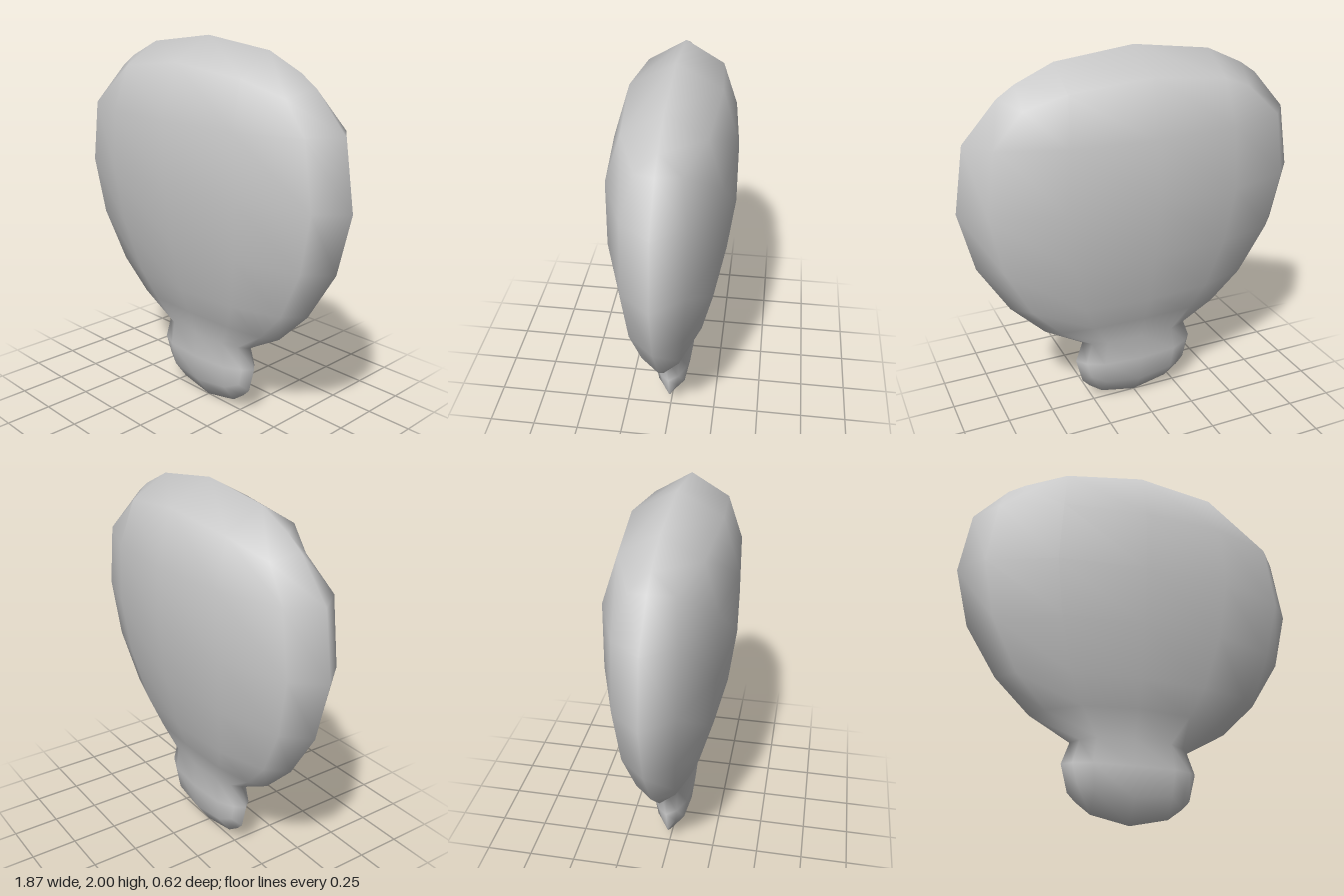
import * as THREE from 'three';
import { mergeVertices } from 'three/addons/utils/BufferGeometryUtils.js';

// Cross-sections from top to bottom:
// [half width, centre y, rim y, depth, inner column fraction, snapped rim y]
const ROWS = [
  [0.70, 2.00, 1.80, 0.000, 0.59],
  [0.70, 1.88, 1.70, 0.225, 0.59, 1.80],
  [0.88, 1.60, 1.60, 0.310, 0.50],
  [0.935, 1.27, 1.26, 0.310, 0.49],
  [0.86, 0.97, 0.95, 0.272, 0.49],
  [0.70, 0.69, 0.69, 0.205, 0.50],
  [0.52, 0.55, 0.51, 0.152, 0.54],
  [0.31, 0.41, 0.39, 0.100, 0.62],
  [0.35, 0.27, 0.28, 0.105, 0.60],
  [0.315, 0.12, 0.20, 0.085, 0.63, 0.14],
  [0.315, 0.00, 0.14, 0.000, 0.63],
];
const SIDES = 12;

// Lens-shaped ring: from the left rim over the front to the right rim and back
function ring([w, yc, ye, depth, inner, snap]) {
  const cols = [1, 0.87, inner, 0, -inner, -0.87, -1];
  const bulge = [0, 0.47, 0.87, 1, 0.87, 0.47, 0];
  const points = [];
  for (let j = 0; j < SIDES; j++) {
    const k = j <= 6 ? j : 12 - j;
    const t = Math.abs(cols[k]);
    const y = t === 1 && snap !== undefined ? snap : yc + (ye - yc) * Math.pow(t, 2.6);
    points.push(cols[k] * w, y, (j <= 6 ? 1 : -1) * bulge[k] * depth);
  }
  return points;
}

function bodyGeometry() {
  const positions = ROWS.flatMap(ring);
  const index = [];
  for (let i = 0; i < ROWS.length - 1; i++) {
    for (let j = 0; j < SIDES; j++) {
      const n = (j + 1) % SIDES;
      const a = i * SIDES + j, c = i * SIDES + n;
      const b = a + SIDES, d = c + SIDES;
      index.push(a, c, b, b, c, d);
    }
  }
  let geometry = new THREE.BufferGeometry();
  geometry.setAttribute('position', new THREE.Float32BufferAttribute(positions, 3));
  geometry.setIndex(index);

  // Weld the shared rim points and drop collapsed triangles
  geometry = mergeVertices(geometry, 1e-4);
  const old = geometry.index.array, kept = [];
  for (let i = 0; i < old.length; i += 3) {
    const [a, b, c] = [old[i], old[i + 1], old[i + 2]];
    if (a !== b && b !== c && c !== a) kept.push(a, b, c);
  }
  geometry.setIndex(kept);
  geometry.computeVertexNormals();
  return geometry;
}

export function createModel() {
  const group = new THREE.Group();
  group.name = 'paddle';
  const body = new THREE.Mesh(bodyGeometry(), new THREE.MeshStandardMaterial({ color: 0xcccccc }));
  body.name = 'bladeAndStem';
  group.add(body);
  return group;
}
